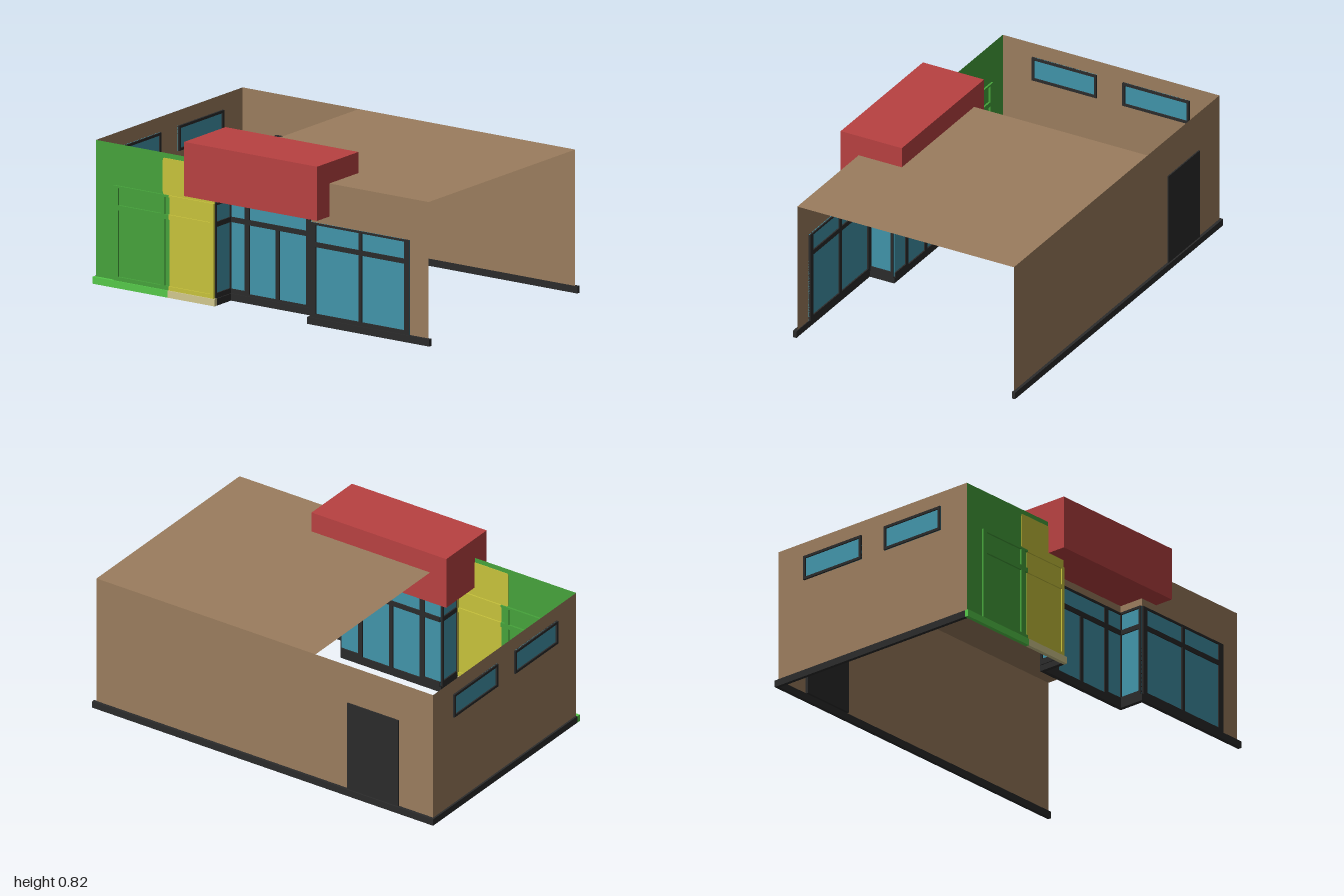
import * as THREE from 'three';

const mat = (name, color) => {
  const m = new THREE.MeshStandardMaterial({ color, side: THREE.DoubleSide });
  m.name = name;
  return m;
};

export function createModel() {
  const model = new THREE.Group();
  model.name = 'shopBuilding';
  const brown = mat('brown wall', 0x9b7d5e);
  const dark = mat('dark frame', 0x2b2b2b);
  const blue = mat('blue glass', 0x4194aa);
  const red = mat('red sign', 0xb84141);
  const green = mat('green panel', 0x46a33b);
  const lime = mat('bright green base', 0x55c94a);
  const yellow = mat('yellow panel', 0xc8c33c);
  const pale = mat('pale base', 0xd2c98e);

  const add = (parent, name, geo, material) => {
    const mesh = new THREE.Mesh(geo, material);
    mesh.name = name;
    parent.add(mesh);
    return mesh;
  };

  // Box given by its limits on each axis
  const box = (parent, name, material, x0, x1, y0, y1, z0, z1) => {
    const g = new THREE.BoxGeometry(x1 - x0, y1 - y0, z1 - z0);
    g.translate((x0 + x1) / 2, (y0 + y1) / 2, (z0 + z1) / 2);
    return add(parent, name, g, material);
  };

  // Slab lying in a wall plane: axis is the wall normal, u runs along the wall
  const slab = (parent, name, material, axis, at, depth, [u0, u1, y0, y1]) =>
    axis === 'z'
      ? box(parent, name, material, u0, u1, y0, y1, at - depth / 2, at + depth / 2)
      : box(parent, name, material, at - depth / 2, at + depth / 2, y0, y1, u0, u1);

  // Thin wall sheet with rectangular openings
  const rect = (p, [u0, u1, y0, y1]) =>
    p.moveTo(u0, y0).lineTo(u1, y0).lineTo(u1, y1).lineTo(u0, y1).closePath();
  const wall = (name, material, axis, at, area, holes = []) => {
    const shape = rect(new THREE.Shape(), area);
    for (const h of holes) shape.holes.push(rect(new THREE.Path(), h));
    const g = new THREE.ShapeGeometry(shape);
    if (axis === 'x') g.rotateY(-Math.PI / 2).translate(at, 0, 0);
    else g.translate(0, 0, at);
    add(model, name, g, material);
  };

  // Glass pane with a list of frame bars over it
  const glazing = (name, axis, at, area, bars) => {
    const g = new THREE.Group();
    g.name = name;
    model.add(g);
    slab(g, 'glass', blue, axis, at, 0.006, area);
    for (const b of bars) slab(g, 'frameBar', dark, axis, at, 0.02, b);
  };
  const border = ([u0, u1, y0, y1], t) => [
    [u0, u0 + t, y0, y1], [u1 - t, u1, y0, y1],
    [u0, u1, y0, y0 + t], [u0, u1, y1 - t, y1],
  ];

  const L = -0.99, R = 0.985, B = -0.645, F = 0.56, H = 0.715, REC = 0.425;

  // Walls and half roof
  const sideWindows = [[0.035, 0.395, 0.515, 0.64], [-0.48, -0.11, 0.515, 0.64]];
  const shopWindow = [0.29, 0.875, 0.035, 0.508];
  wall('backWall', brown, 'z', B, [L, R, 0, H]);
  wall('sideWall', brown, 'x', L, [B, F, 0, H], sideWindows);
  wall('frontWall', brown, 'z', F, [0.29, R, 0, H], [shopWindow]);
  wall('entranceLintel', brown, 'z', REC, [-0.29, 0.29, 0.505, H]);
  for (const x of [-0.29, 0.29]) wall('recessLintel', brown, 'x', x, [REC, F, 0.508, H]);
  const roof = new THREE.PlaneGeometry(R + 0.3, F - B);
  roof.rotateX(-Math.PI / 2).translate((R - 0.3) / 2, H, (F + B) / 2);
  add(model, 'roof', roof, brown);

  // Side windows, back door and sign
  for (const w of sideWindows) glazing('sideWindow', 'x', L, w, border(w, 0.013));
  box(model, 'backDoor', dark, -0.79, -0.49, 0.035, 0.51, -0.652, -0.63);
  box(model, 'signBox', red, -0.395, 0.395, 0.55, 0.82, 0.32, 0.66);

  // Shop window
  glazing('shopWindow', 'z', F, shopWindow, [
    [0.29, 0.32, 0.035, 0.508], [0.845, 0.875, 0.035, 0.508], [0.575, 0.595, 0.035, 0.508],
    [0.29, 0.875, 0.388, 0.412], [0.29, 0.875, 0.035, 0.055], [0.29, 0.875, 0.498, 0.508],
  ]);

  // Recessed entrance with double doors
  glazing('entrance', 'z', REC, [-0.29, 0.29, 0.03, 0.508], [
    [-0.2, -0.172, 0.03, 0.508], [0.165, 0.19, 0.03, 0.508], [-0.014, 0.006, 0.03, 0.4],
    [-0.29, 0.29, 0.39, 0.415], [-0.29, 0.29, 0.03, 0.045], [-0.29, 0.29, 0.498, 0.508],
    [-0.29, -0.2, 0.03, 0.057], [0.19, 0.29, 0.03, 0.057],
  ]);
  for (const x of [-0.29, 0.29]) {
    const a = [REC, F, 0.03, 0.51];
    glazing('recessWindow', 'x', x, a, [
      ...border(a, 0.012), [REC, F, 0.39, 0.415], [REC, F, 0.03, 0.06],
    ]);
  }

  // Painted front panel: green wall, yellow plate with rounded top corner
  wall('greenPanel', green, 'z', F, [L, -0.285, 0, H]);
  const s = new THREE.Shape();
  s.moveTo(-0.553, 0.03).lineTo(-0.285, 0.03).lineTo(-0.285, 0.69).lineTo(-0.58, 0.69)
    .quadraticCurveTo(-0.592, 0.69, -0.592, 0.678).lineTo(-0.592, 0.52)
    .quadraticCurveTo(-0.592, 0.508, -0.58, 0.508).lineTo(-0.553, 0.508).closePath();
  const plate = new THREE.ExtrudeGeometry(s, { depth: 0.006, bevelEnabled: false });
  add(model, 'yellowPanel', plate.translate(0, 0, F - 0.003), yellow);

  // Painted-over window frame, split by colour
  const paintedFrame = new THREE.Group();
  paintedFrame.name = 'paintedFrame';
  model.add(paintedFrame);
  const split = -0.553;
  for (const [y0, y1] of [[0.035, 0.055], [0.388, 0.412], [0.498, 0.508]]) {
    slab(paintedFrame, 'greenRail', green, 'z', F, 0.02, [-0.88, split, y0, y1]);
    slab(paintedFrame, 'yellowRail', yellow, 'z', F, 0.02, [split, -0.285, y0, y1]);
  }
  slab(paintedFrame, 'greenPost', green, 'z', F, 0.02, [-0.88, -0.853, 0.035, 0.508]);
  slab(paintedFrame, 'greenMullion', green, 'z', F, 0.02, [-0.6, -0.577, 0.035, 0.508]);
  slab(paintedFrame, 'yellowPost', yellow, 'z', F, 0.02, [-0.305, -0.285, 0.035, 0.508]);

  // Plinth along the walls
  const P = 0.035;
  const plinths = [
    [-1, 1, -0.66, -0.642, dark],
    [-1, -0.982, -0.66, 0.557, dark],
    [0.275, 1, 0.556, 0.576, dark],
    [-0.295, 0.295, REC - 0.005, REC + 0.016, dark],
    [-0.295, -0.275, REC, 0.557, dark],
    [0.275, 0.295, REC, 0.557, dark],
    [-1, split, 0.556, 0.576, lime],
    [split, -0.275, 0.556, 0.576, pale],
  ];
  for (const [x0, x1, z0, z1, m] of plinths) box(model, 'plinth', m, x0, x1, 0, P, z0, z1);

  return model;
}
